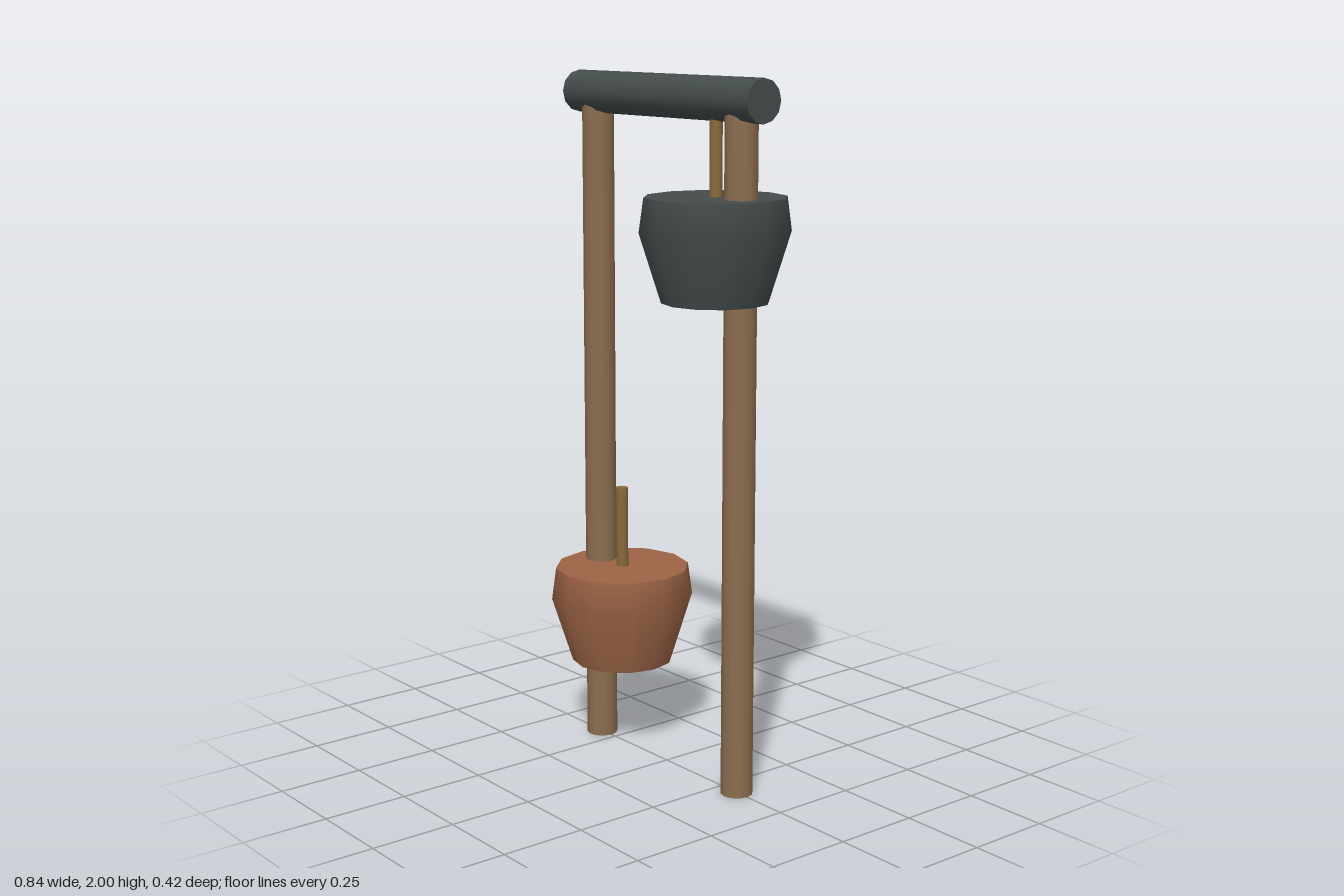
import * as THREE from 'three';

const SIDES = 12;

function material(name, color) {
  const m = new THREE.MeshStandardMaterial({ color });
  m.name = name;
  return m;
}

export function createModel() {
  const wood = material('wood', 0x8b6d50);
  const rope = material('rope', 0x8a6a3c);
  const iron = material('dark iron', 0x454c4c);
  const copper = material('copper', 0x9c6446);

  const model = new THREE.Group();
  model.name = 'bucketFrame';

  // Upright rod standing between two heights
  const rod = (name, mat, radius, x, y0, y1) => {
    const mesh = new THREE.Mesh(new THREE.CylinderGeometry(radius, radius, y1 - y0, SIDES), mat);
    mesh.name = name;
    mesh.position.set(x, (y0 + y1) / 2, 0);
    return mesh;
  };

  // Posts
  model.add(rod('leftPost', wood, 0.046, 0.315, 0, 1.94));
  model.add(rod('rightPost', wood, 0.046, -0.315, 0, 1.94));

  // Crossbeam lying along x
  const beam = new THREE.Mesh(new THREE.CylinderGeometry(0.06, 0.06, 0.806, SIDES), iron);
  beam.name = 'crossbeam';
  beam.rotation.z = Math.PI / 2;
  beam.position.y = 1.94;
  model.add(beam);

  // Closed bucket: tapered wall with a shoulder, flat lid and base
  const profile = [[0.15, 0], [0.211, 0.192], [0.198, 0.287]].map(([r, y]) => new THREE.Vector2(r, y));
  const bucket = (name, mat, x, y) => {
    const group = new THREE.Group();
    group.name = name;
    group.position.set(x, y, 0);
    const wall = new THREE.Mesh(new THREE.LatheGeometry(profile, SIDES), mat);
    wall.name = 'bucketWall';
    group.add(wall);
    for (const [part, p, tilt] of [['bucketLid', profile[2], -1], ['bucketBase', profile[0], 1]]) {
      const disc = new THREE.Mesh(new THREE.CircleGeometry(p.x, SIDES), mat);
      disc.name = part;
      disc.rotation.x = tilt * Math.PI / 2;
      disc.position.y = p.y;
      group.add(disc);
    }
    return group;
  };

  // Raised and lowered buckets with their ropes
  model.add(bucket('raisedBucket', iron, 0.211, 1.391));
  model.add(rod('raisedRope', rope, 0.018, 0.211, 1.66, 1.92));
  model.add(bucket('loweredBucket', copper, -0.211, 0.264));
  model.add(rod('loweredRope', rope, 0.018, -0.211, 0.53, 0.79));

  return model;
}
